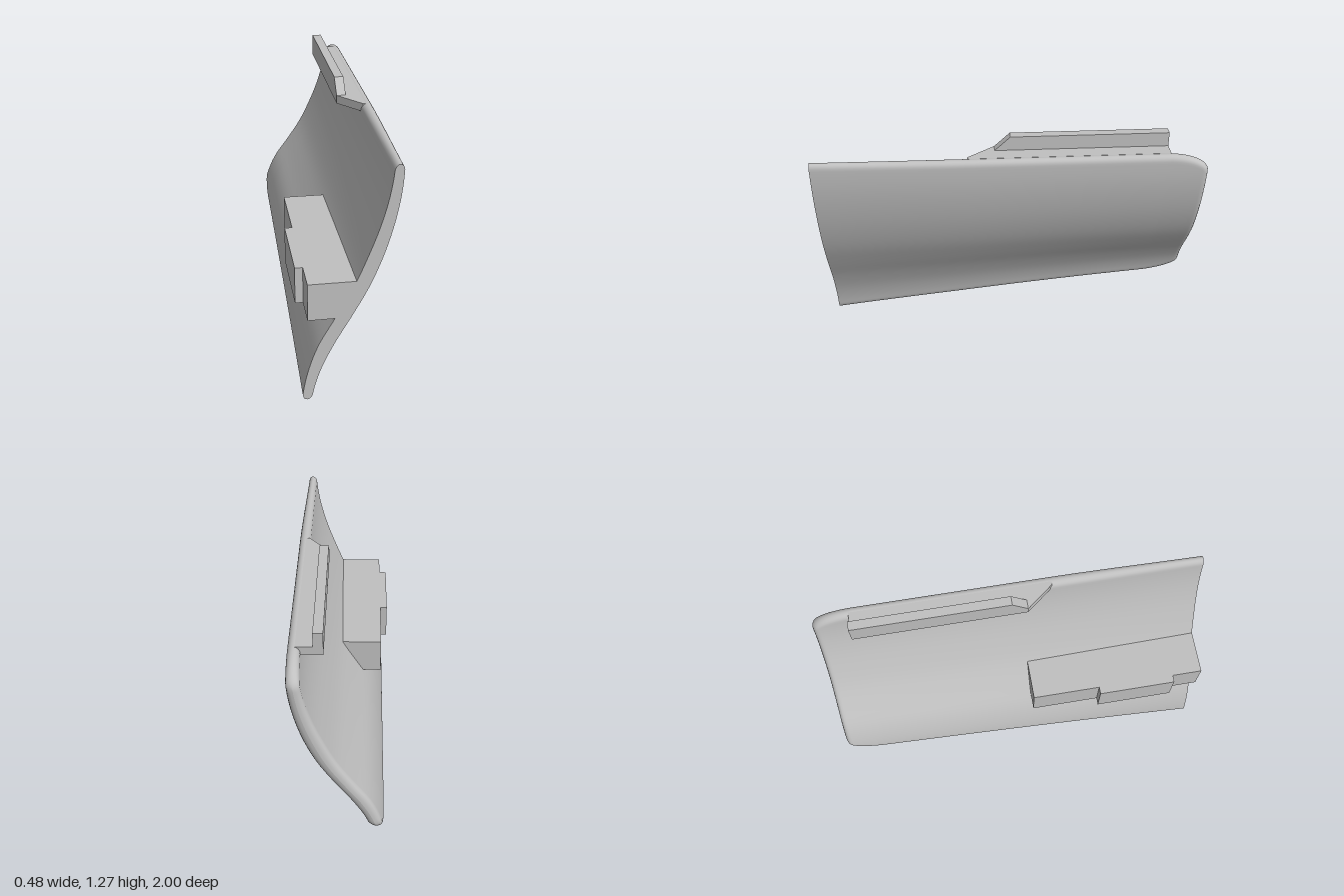
import * as THREE from 'three';

const TOP = 1.2;
const clamp = THREE.MathUtils.clamp;

// x positions of the two panel faces, evenly spaced in height from 0 to TOP
const profile = (xs) => {
  const curve = new THREE.SplineCurve(xs.map((x, i) => new THREE.Vector2(i, x)));
  return (s) => curve.getPoint(clamp(s / TOP, 0, 1)).y;
};
const outerX = profile([-0.187, -0.15, -0.083, 0.001, 0.08, 0.14, 0.184, 0.213, 0.225]);
const innerX = profile([-0.232, -0.206, -0.155, -0.073, 0.007, 0.07, 0.124, 0.163, 0.183]);

// quarter-round falloff near an edge
const roundOff = (d, r) => (d >= r ? 1 : Math.sqrt(Math.max(0, 1 - (1 - d / r) ** 2)));

// closed cross-section of the panel at depth z
const N = 44;
function section(z) {
  const rise = 0.13 - 0.1145 * z - 0.0155 * z * z; // lower edge climbs to the back
  const k = clamp((-0.78 - z) / 0.22, 0, 1);
  const corner = 1 - Math.sqrt(1 - k * k); // rounded back corners
  const lo = rise + 0.08 * corner;
  const hi = TOP - 0.1 * corner;
  const bulge = 0.016 * THREE.MathUtils.smoothstep(1 - z, -0.2, 0.8);
  const endRound = roundOff(z + 1, 0.025);
  const outer = [], inner = [];
  for (let i = 0; i <= N; i++) {
    const y = lo + (hi - lo) * (1 - Math.cos((Math.PI * i) / N)) / 2;
    let s = y;
    for (let n = 0; n < 12; n++) s = y - rise * Math.pow(clamp(1 - s / TOP, 0, 1), 1.7);
    const shift = 0.0075 * (1 - z) * (1 - clamp(s / TOP, 0, 1));
    const xo = outerX(s) + bulge + shift;
    const xi = innerX(s) + shift;
    const mid = (xo + xi) / 2;
    const half = ((xo - xi) / 2) * roundOff(Math.min(y - lo, hi - y), 0.03) * endRound;
    outer.push(new THREE.Vector2(mid + half, y));
    inner.push(new THREE.Vector2(mid - half, y));
  }
  return [...outer, ...inner.slice(1, N).reverse()];
}

// skin lofted through the cross-sections
function panelSkin() {
  const zs = [];
  for (let i = 0; i < 16; i++) zs.push(1 - (1.78 * i) / 16);
  for (let i = 0; i <= 14; i++) zs.push(-0.78 - 0.22 * Math.sin((Math.PI / 2) * (i / 14)));
  const pos = [], index = [], M = 2 * N;
  zs.forEach((z, j) => {
    section(z).forEach((p) => pos.push(p.x, p.y, z));
    if (j === zs.length - 1) return;
    for (let i = 0; i < M; i++) {
      const a = j * M + i, b = j * M + ((i + 1) % M), c = a + M, d = b + M;
      index.push(a, c, b, b, c, d);
    }
  });
  const geo = new THREE.BufferGeometry();
  geo.setAttribute('position', new THREE.Float32BufferAttribute(pos, 3));
  geo.setIndex(index);
  geo.computeVertexNormals();
  return geo;
}

// straight extrusion of a polygon
const prism = (points, depth) =>
  new THREE.ExtrudeGeometry(new THREE.Shape(points.map(([x, y]) => new THREE.Vector2(x, y))), {
    depth, bevelEnabled: false,
  });

export function createModel() {
  const group = new THREE.Group();
  const grey = new THREE.MeshStandardMaterial({ color: 0xc0c0c0, side: THREE.DoubleSide });
  grey.name = 'plain grey';
  const add = (name, geo) => {
    const mesh = new THREE.Mesh(geo, grey);
    mesh.name = name;
    group.add(mesh);
    return mesh;
  };

  // curved panel with a flat front end
  add('curvedPanel', panelSkin());
  add('panelFrontEnd', new THREE.ShapeGeometry(new THREE.Shape(section(1)))).position.z = 1;

  // mounting block on the inner face, with a raised pad
  add('mountingBlock', prism([[-0.205, 0.443], [-0.05, 0.443], [0.045, 0.633], [-0.205, 0.633]], 0.93))
    .position.z = 0.07;
  add('mountingPad', new THREE.BoxGeometry(0.048, 0.19, 0.41)).position.set(-0.219, 0.538, 0.635);

  // upper flange with a chamfered front end
  const flange = prism([[0.077, -0.805], [0.205, -0.805], [0.205, 0.22], [0.188, 0.22], [0.077, 0.08]], 0.043);
  add('railFlange', flange.rotateX(Math.PI / 2).translate(0, TOP, 0));

  // upright rail with a sloped front end
  const rail = prism([[-0.805, 1.19], [0.08, 1.19], [0.08, 1.2], [0, 1.274], [-0.805, 1.274]], 0.048);
  add('uprightRail', rail.rotateY(-Math.PI / 2).translate(0.125, 0, 0));

  return group;
}
